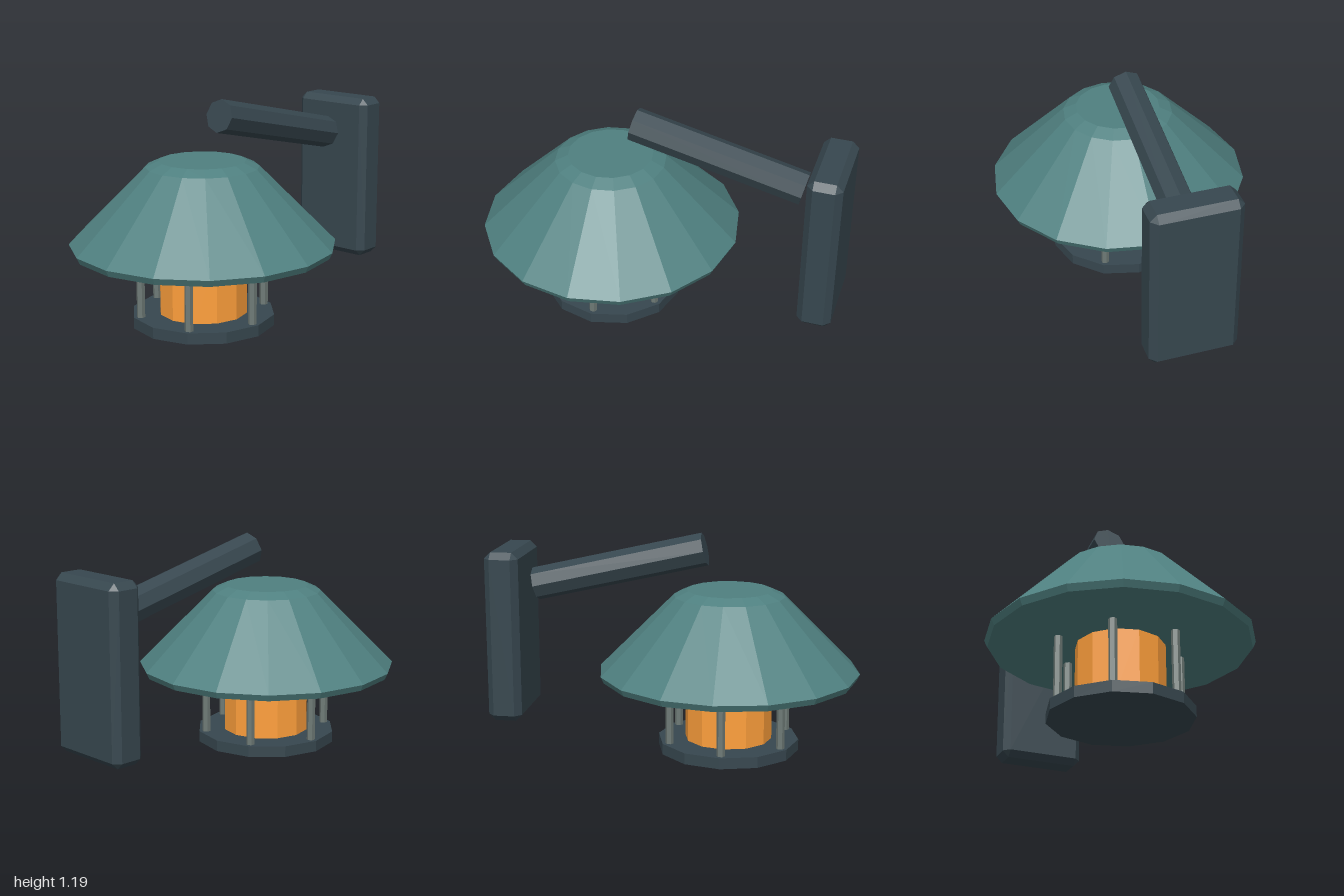
import * as THREE from 'three';
import { ConvexGeometry } from 'three/addons/geometries/ConvexGeometry.js';

const paint = (color) => new THREE.MeshStandardMaterial({ color, flatShading: true });

// Box with every edge cut by a flat chamfer
function chamferBox(w, h, d, c) {
  const points = [];
  for (const x of [-w / 2, w / 2]) for (const y of [-h / 2, h / 2]) for (const z of [-d / 2, d / 2]) {
    const corner = new THREE.Vector3(x, y, z);
    for (const axis of [0, 1, 2]) {
      const p = corner.clone();
      for (const other of [0, 1, 2]) {
        if (other !== axis) p.setComponent(other, p.getComponent(other) - Math.sign(p.getComponent(other)) * c);
      }
      points.push(p);
    }
  }
  return new ConvexGeometry(points);
}

export function createModel() {
  const model = new THREE.Group();
  model.name = 'wallLantern';
  const iron = paint(0x37474f), teal = paint(0x4f8080), amber = paint(0xffa03c), steel = paint(0x6e7a76);

  const add = (parent, name, geometry, material, x, y, z) => {
    const mesh = new THREE.Mesh(geometry, material);
    mesh.name = name;
    mesh.position.set(x, y, z);
    parent.add(mesh);
    return mesh;
  };

  // Lantern body, centred in front of the wall plate
  const lantern = new THREE.Group();
  lantern.name = 'lantern';
  lantern.position.z = 0.293;
  model.add(lantern);

  add(lantern, 'base', new THREE.CylinderGeometry(0.385, 0.385, 0.06, 12), iron, 0, 0.03, 0);
  add(lantern, 'glass', new THREE.CylinderGeometry(0.237, 0.237, 0.36, 12), amber, 0, 0.235, 0);

  // Six posts around the glass
  const postGeometry = new THREE.CylinderGeometry(0.0225, 0.0225, 0.36, 6);
  for (let i = 0; i < 6; i++) {
    const a = (i * Math.PI) / 3;
    add(lantern, 'post', postGeometry, steel, 0.345 * Math.cos(a), 0.235, 0.345 * Math.sin(a));
  }

  // Closed conical shade with a thin rim and a flat crown
  const profile = [[0, 0.405], [0.69, 0.405], [0.707, 0.44], [0.3, 0.85], [0.23, 0.882], [0, 0.882]];
  add(lantern, 'shade', new THREE.LatheGeometry(profile.map(([r, y]) => new THREE.Vector2(r, y)), 16), teal, 0, 0, 0);

  // Sloping arm, rising away from the wall
  const arm = add(model, 'arm', new THREE.CylinderGeometry(0.09, 0.09, 0.954, 8), iron, 0, 0.99, -0.305);
  arm.rotation.x = Math.atan2(0.93, 0.215);

  // Wall plate
  add(model, 'wallPlate', chamferBox(0.475, 0.93, 0.185, 0.035), iron, 0, 0.62, -0.9075);

  return model;
}
